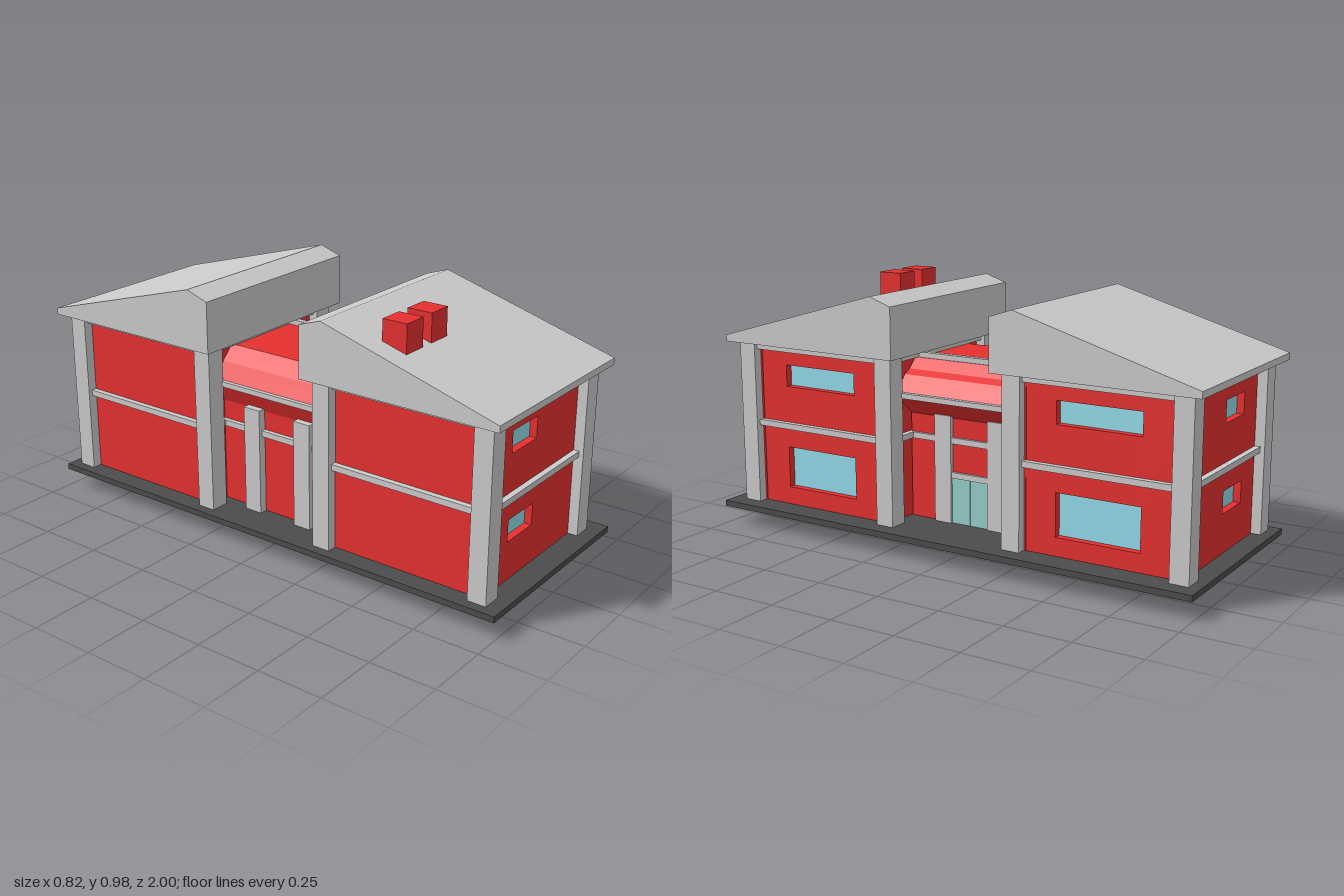
import * as THREE from 'three';

const mat = (color) => new THREE.MeshStandardMaterial({ color, flatShading: true });

export function createModel() {
  const model = new THREE.Group();
  const grey = mat(0xcccccc), red = mat(0xe63030), dark = mat(0x4c4c4c);
  const glass = mat(0x94dcea), doorGlass = mat(0x96cfca);

  const add = (parent, name, geometry, material) => {
    const mesh = new THREE.Mesh(geometry, material);
    mesh.name = name;
    parent.add(mesh);
    return mesh;
  };
  // Box given by its minimum and maximum on each axis
  const box = (parent, name, material, x0, x1, y0, y1, z0, z1) => {
    const mesh = add(parent, name, new THREE.BoxGeometry(x1 - x0, y1 - y0, Math.abs(z1 - z0)), material);
    mesh.position.set((x0 + x1) / 2, (y0 + y1) / 2, (z0 + z1) / 2);
    return mesh;
  };
  const extrude = (points, depth) => {
    const shape = new THREE.Shape(points.map(([x, y]) => new THREE.Vector2(x, y)));
    return new THREE.ExtrudeGeometry(shape, { depth, bevelEnabled: false });
  };

  // Wall facing local +z, with cut-out windows [x0, x1, y0, y1] and two rails
  const wall = (parent, name, x0, x1, windows) => {
    const group = new THREE.Group();
    group.name = name;
    parent.add(group);
    const shape = new THREE.Shape([[x0, 0.08], [x1, 0.08], [x1, 0.725], [x0, 0.725]]
      .map(([x, y]) => new THREE.Vector2(x, y)));
    for (const [a, b, c, d] of windows) {
      shape.holes.push(new THREE.Path([[a, c], [a, d], [b, d], [b, c]]
        .map(([x, y]) => new THREE.Vector2(x, y))));
      box(group, 'windowPane', glass, a, b, c, d, -0.04, -0.028);
    }
    const geometry = new THREE.ExtrudeGeometry(shape, { depth: 0.04, bevelEnabled: false });
    geometry.translate(0, 0, -0.04);
    add(group, 'wallPanel', geometry, red);
    box(group, 'middleRail', grey, x0, x1, 0.4, 0.423, -0.01, 0.022);
    box(group, 'topRail', grey, x0, x1, 0.702, 0.725, -0.01, 0.022);
    return group;
  };

  // One wing; s is the direction of its outer end along z
  const wing = (name, s, cz) => {
    const group = new THREE.Group();
    group.name = name;
    group.position.z = cz;
    model.add(group);

    // Corner pillars
    for (const x of [-0.3325, 0.3075]) {
      for (const z of [-0.3225, 0.3225]) {
        box(group, 'cornerPillar', grey, x - 0.0375, x + 0.0375, 0.067, 0.73, z - 0.036, z + 0.036);
      }
    }

    // End walls, the outer one with two small windows
    const [w0, w1] = s > 0 ? [-0.178, -0.015] : [0.015, 0.178];
    const [e0, e1] = s > 0 ? [-0.33, 0.31] : [-0.31, 0.33];
    const outer = wall(group, 'outerWall', e0, e1, [[w0, w1, 0.24, 0.322], [w0, w1, 0.564, 0.645]]);
    outer.rotation.y = s > 0 ? 0 : Math.PI;
    outer.position.z = s * 0.32;
    const inner = wall(group, 'innerWall', -e1, -e0, []);
    inner.rotation.y = s > 0 ? Math.PI : 0;
    inner.position.z = -s * 0.32;

    // Side walls, the entrance side with two wide windows
    const entrance = wall(group, 'entranceSideWall', -0.318, 0.318,
      [[-0.162, 0.162, 0.162, 0.323], [-0.162, 0.162, 0.564, 0.648]]);
    entrance.rotation.y = Math.PI / 2;
    entrance.position.x = 0.307;
    const plain = wall(group, 'plainSideWall', -0.318, 0.318, []);
    plain.rotation.y = -Math.PI / 2;
    plain.position.x = -0.332;

    // Roof: long outer slope, short inner slope, upright inner face
    const profile = [[0.397, 0.73], [0.397, 0.755], [-0.298, 0.955], [-0.388, 0.925], [-0.388, 0.73]];
    const roof = extrude(profile.map(([u, y]) => [-s * u, y]), 0.785);
    roof.rotateY(Math.PI / 2);
    add(group, 'roof', roof, grey).position.x = -0.405;
  };
  wing('frontWing', 1, 0.587);
  wing('backWing', -1, -0.602);

  // Ground plate
  box(model, 'groundPlate', dark, -0.408, 0.408, 0.07, 0.093, -1, 1);

  // Chimneys on the front roof
  for (const x of [-0.267, -0.12]) {
    box(model, 'chimney', red, x - 0.048, x + 0.048, 0.727, 0.978, 0.478, 0.575);
  }

  // Middle hall: walls, sloping soffits and stepped roof in one section
  box(model, 'hallFloor', red, -0.25, 0.172, 0.057, 0.09, -0.35, 0.35);
  const hall = extrude([
    [-0.25, 0.08], [0.17, 0.08], [0.17, 0.495], [0.258, 0.572], [0.258, 0.588], [0.21, 0.648],
    [0.18, 0.664], [0.14, 0.702], [-0.2, 0.702], [-0.25, 0.65], [-0.287, 0.588], [-0.287, 0.572], [-0.25, 0.495],
  ], 0.54);
  add(model, 'middleHall', hall, red).position.z = -0.28;
  box(model, 'roofRail', grey, 0.115, 0.138, 0.698, 0.722, -0.27, 0.26);
  box(model, 'entranceFascia', grey, 0.255, 0.275, 0.57, 0.59, -0.27, 0.26);
  box(model, 'rearFascia', grey, -0.302, -0.284, 0.57, 0.59, -0.27, 0.26);
  box(model, 'entranceRail', grey, 0.16, 0.182, 0.4, 0.423, -0.27, 0.26);
  box(model, 'rearRail', grey, -0.268, -0.24, 0.4, 0.423, -0.27, 0.26);

  // Entrance and rear columns
  for (const z of [0.11, -0.121]) {
    box(model, 'entranceColumn', grey, 0.111, 0.186, 0.02, 0.505, z - 0.036, z + 0.036);
    box(model, 'rearColumn', grey, -0.282, -0.208, 0, 0.505, z - 0.036, z + 0.036);
  }

  // Glass double door with its lintel
  for (const [z0, z1] of [[-0.085, -0.006], [-0.004, 0.074]]) {
    box(model, 'doorLeaf', doorGlass, 0.103, 0.177, 0.042, 0.268, z0, z1);
  }
  box(model, 'doorLintel', grey, 0.11, 0.182, 0.268, 0.29, -0.085, 0.074);

  return model;
}
